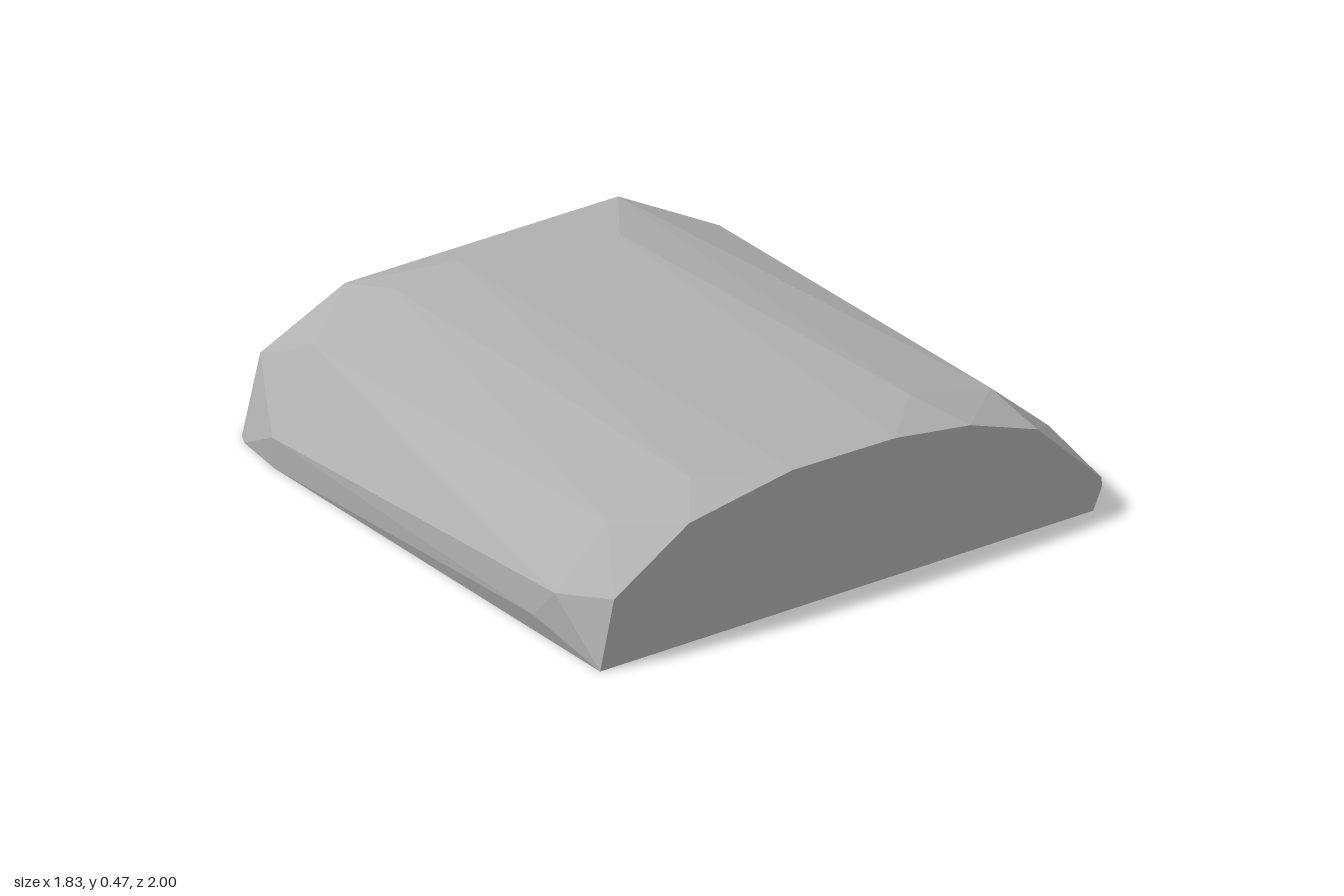
import * as THREE from 'three';
import { ConvexGeometry } from 'three/addons/geometries/ConvexGeometry.js';

export function createModel() {
  const group = new THREE.Group();
  group.name = 'facetedStone';
  const stoneGrey = new THREE.MeshStandardMaterial({ color: 0xb0b0b0, flatShading: true });
  stoneGrey.name = 'stoneGrey';

  // Flat cut front: outline as [x, y] at z = 1
  const front = [
    [-0.89, 0], [-0.84, 0.22], [-0.57, 0.39], [-0.2, 0.453], [0.17, 0.448],
    [0.44, 0.41], [0.68, 0.325], [0.91, 0.1], [0.912, 0.07], [0.88, 0],
  ].map(([x, y]) => [x, y, 1]);

  // Fullest section just behind the front
  const shoulder = [
    [-0.915, 0.07, 0.7], [-0.91, 0.18, 0.8], [-0.72, 0.355, 0.8], [-0.45, 0.437, 0.84],
    [0.38, 0.438, 0.78], [0.685, 0.36, 0.76], [0.865, 0.2, 0.8],
  ];

  // Crown and flanks where the top starts to fall to the back
  const crown = [
    [-0.9, 0.1, -0.62], [-0.73, 0.335, -0.65], [-0.44, 0.437, -0.65], [-0.22, 0.467, -0.64],
    [0.27, 0.462, -0.51], [0.45, 0.425, -0.77], [0.69, 0.33, -0.6], [0.86, 0.17, -0.64],
  ];

  // Sloped back rim
  const backRim = [
    [-0.77, 0.24, -0.86], [-0.48, 0.39, -0.84], [-0.53, 0.25, -0.96],
    [0.41, 0.25, -0.98], [0.72, 0.25, -0.84],
  ];

  // Back part of the flat underside as [x, z]
  const base = [
    [-0.895, -0.62], [-0.87, -0.8], [-0.85, -0.84], [-0.68, -0.97],
    [0.4, -1], [0.71, -0.95], [0.8, -0.89], [0.87, -0.73],
  ].map(([x, z]) => [x, 0, z]);

  const points = [...front, ...shoulder, ...crown, ...backRim, ...base]
    .map((p) => new THREE.Vector3(...p));
  const stone = new THREE.Mesh(new ConvexGeometry(points), stoneGrey);
  stone.name = 'stoneBody';
  group.add(stone);
  return group;
}
